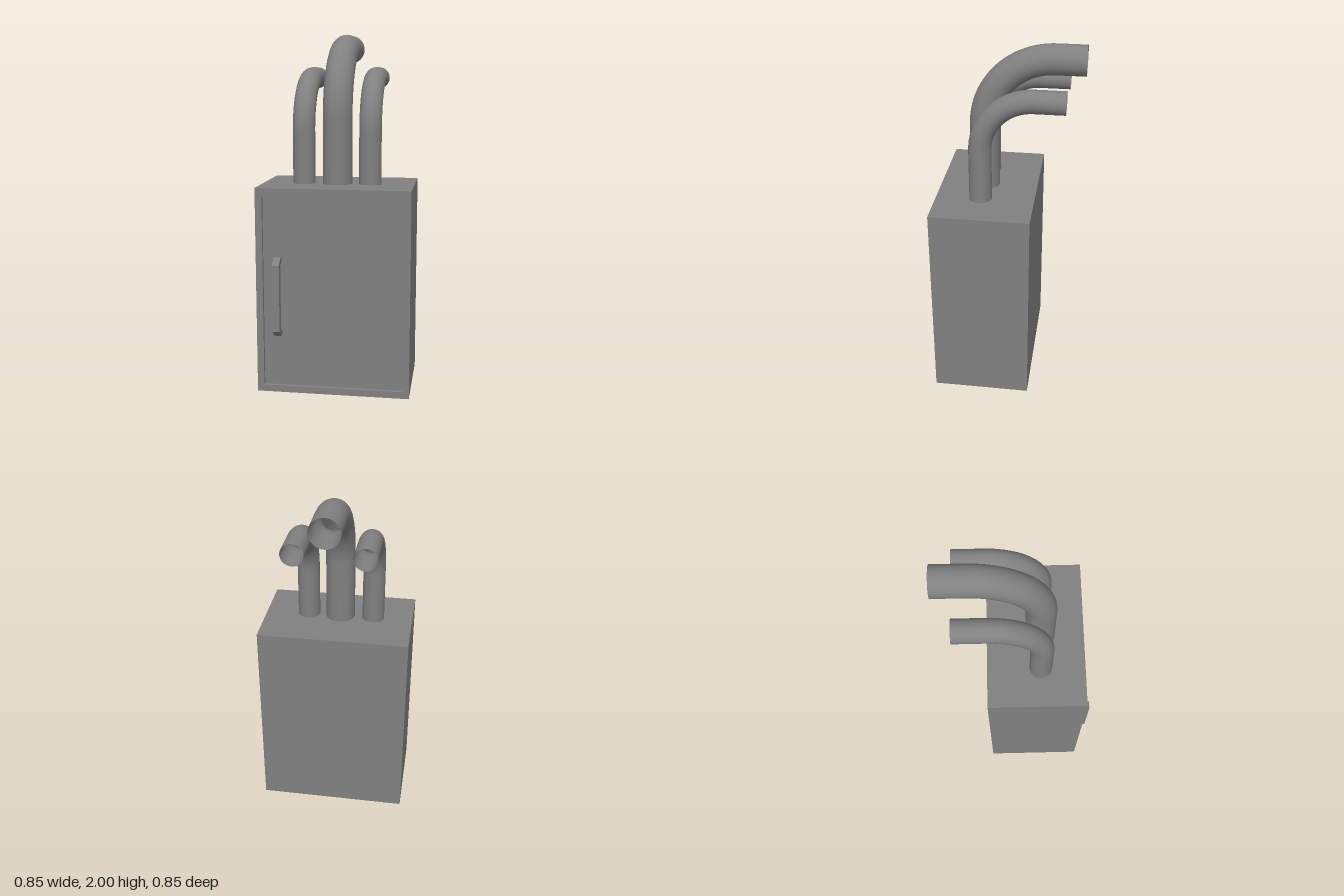
import * as THREE from 'three';

const material = new THREE.MeshStandardMaterial({ color: 0x808080 });
const openMaterial = new THREE.MeshStandardMaterial({ color: 0x808080, side: THREE.DoubleSide });

const W = 0.854, H = 1.16, BACK = -0.175, FRONT = 0.375;
const DOOR_W = 0.778, DOOR_BOTTOM = 0.038, DOOR_TOP = 1.115;
const FRAME_DEPTH = 0.03, RECESS = 0.02;

// Rises vertically, bends through a quarter circle, then runs straight back.
class PipePath extends THREE.Curve {
  constructor(x, z, bottom, top, bend, end) {
    super();
    Object.assign(this, { x, z, bottom, top, bend });
    this.rise = top - bend - bottom;
    this.arc = bend * Math.PI / 2;
    this.run = z - bend - end;
  }
  getPoint(t, target = new THREE.Vector3()) {
    const { x, z, bottom, top, bend, rise, arc, run } = this;
    const s = t * (rise + arc + run);
    if (s < rise) return target.set(x, bottom + s, z);
    if (s < rise + arc) {
      const a = (s - rise) / bend;
      return target.set(x, bottom + rise + bend * Math.sin(a), z - bend + bend * Math.cos(a));
    }
    return target.set(x, top, z - bend - (s - rise - arc));
  }
}

function polygon(points, Type = THREE.Shape) {
  return new Type(points.map(([x, y]) => new THREE.Vector2(x, y)));
}

function rectangle(w, y0, y1) {
  return [[-w / 2, y0], [w / 2, y0], [w / 2, y1], [-w / 2, y1]];
}

export function createModel() {
  const group = new THREE.Group();
  const add = (name, geometry, mat = material) => {
    const mesh = new THREE.Mesh(geometry, mat);
    mesh.name = name;
    group.add(mesh);
    return mesh;
  };

  // Cabinet body behind the door frame
  const bodyDepth = FRONT - FRAME_DEPTH - BACK;
  add('cabinetBody', new THREE.BoxGeometry(W, H, bodyDepth))
    .position.set(0, H / 2, BACK + bodyDepth / 2);

  // Raised rim around the door
  const rim = polygon(rectangle(W, 0, H));
  rim.holes.push(polygon(rectangle(DOOR_W, DOOR_BOTTOM, DOOR_TOP).reverse(), THREE.Path));
  add('doorFrame', new THREE.ExtrudeGeometry(rim, { depth: FRAME_DEPTH, bevelEnabled: false }))
    .position.z = FRONT - FRAME_DEPTH;

  // Recessed door panel
  const doorDepth = FRAME_DEPTH - RECESS;
  add('door', new THREE.BoxGeometry(DOOR_W, DOOR_TOP - DOOR_BOTTOM, doorDepth))
    .position.set(0, (DOOR_TOP + DOOR_BOTTOM) / 2, FRONT - RECESS - doorDepth / 2);

  // Bracket handle with chamfered corners, drawn in side profile (z, y)
  const handle = polygon([
    [0.355, 0.331], [0.383, 0.331], [0.424, 0.367], [0.424, 0.741], [0.383, 0.776],
    [0.355, 0.776], [0.355, 0.741], [0.387, 0.741], [0.387, 0.367], [0.355, 0.367],
  ]);
  const handleGeometry = new THREE.ExtrudeGeometry(handle, { depth: 0.04, bevelEnabled: false });
  handleGeometry.rotateY(-Math.PI / 2);
  add('doorHandle', handleGeometry).position.x = -0.286;

  // Open-ended pipes: name, x, radius, centreline height, bend radius, back end
  const pipes = [
    ['rightPipe', -0.199, 0.063, 1.747, 0.29, -0.333],
    ['centrePipe', -0.007, 0.083, 1.917, 0.385, -0.425],
    ['leftPipe', 0.178, 0.063, 1.747, 0.29, -0.333],
  ];
  for (const [name, x, radius, top, bend, end] of pipes) {
    const path = new PipePath(x, 0.125, H, top, bend, end);
    add(name, new THREE.TubeGeometry(path, 64, radius, 32), openMaterial);
  }

  return group;
}
